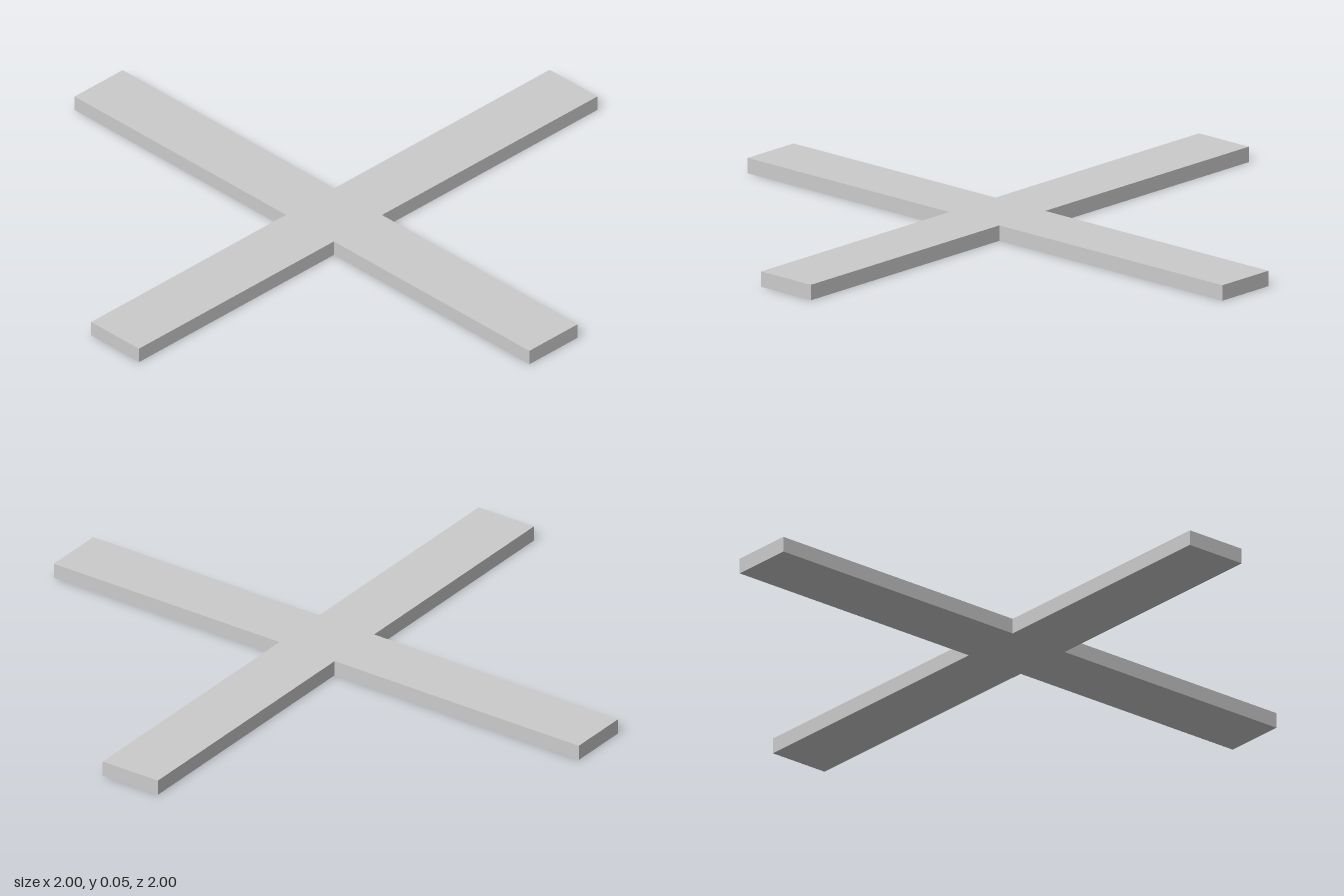
import * as THREE from 'three';

const HEIGHT = 0.05;
const X0 = -0.07, X1 = 0.14; // sides of the bar running front to back
const Z0 = -0.06, Z1 = 0.15; // sides of the bar running left to right

export function createModel() {
  const group = new THREE.Group();
  group.name = 'crossBase';

  // Cross outline in plan (x, z), with off-centre arms
  const outline = [
    [X0, -1], [X1, -1], [X1, Z0], [1, Z0], [1, Z1], [X1, Z1],
    [X1, 1], [X0, 1], [X0, Z1], [-1, Z1], [-1, Z0], [X0, Z0],
  ].map(([x, z]) => new THREE.Vector2(x, z));

  // Extrude the plan, then lay it flat on the ground
  const geometry = new THREE.ExtrudeGeometry(new THREE.Shape(outline), {
    depth: HEIGHT,
    bevelEnabled: false,
  });
  geometry.rotateX(Math.PI / 2).translate(0, HEIGHT, 0);

  const cross = new THREE.Mesh(
    geometry,
    new THREE.MeshStandardMaterial({ color: 0xcccccc, flatShading: true }),
  );
  cross.name = 'crossedBars';
  group.add(cross);
  return group;
}
